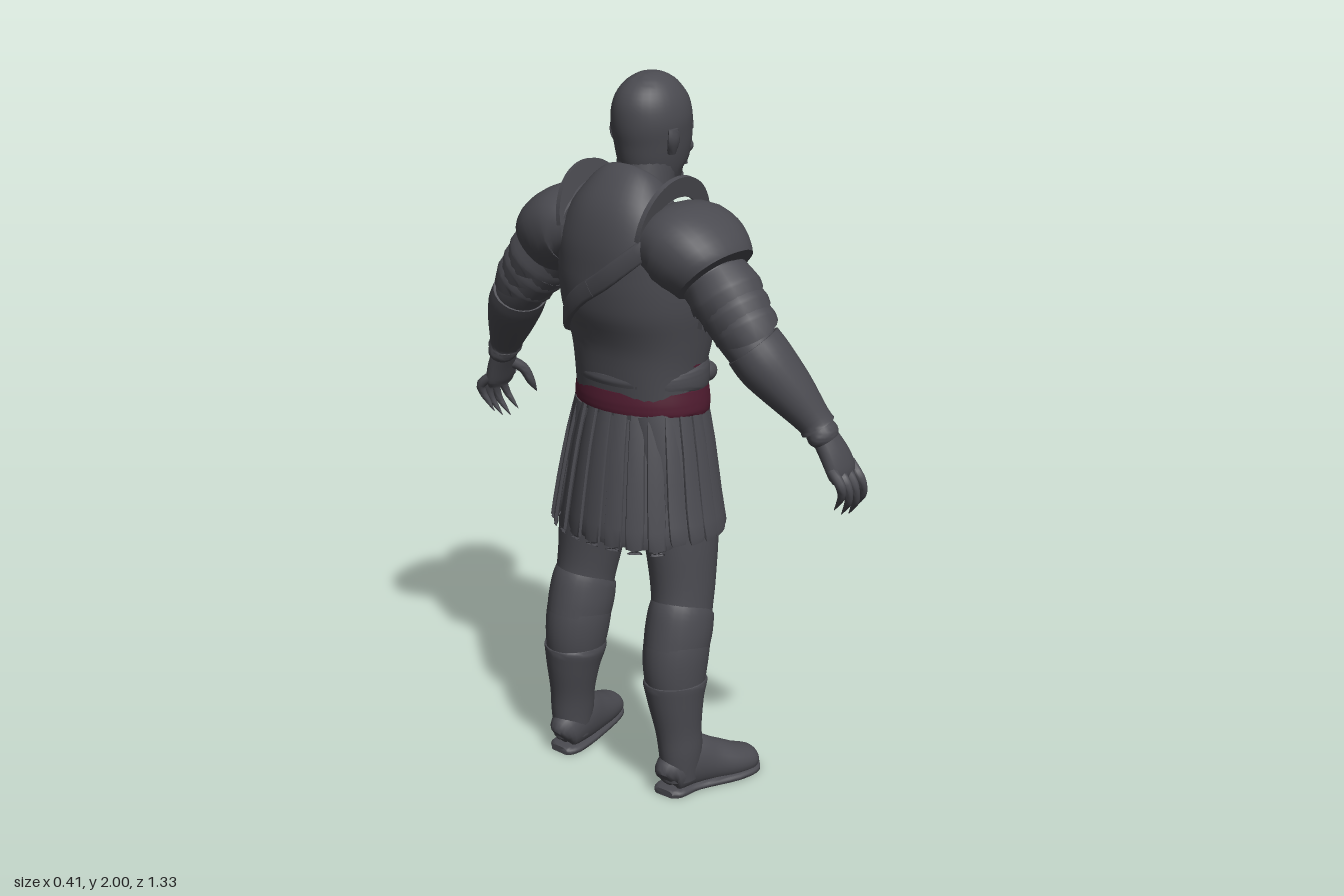
import * as THREE from 'three';
import { mergeVertices, toCreasedNormals } from 'three/addons/utils/BufferGeometryUtils.js';

const V = (x, y, z) => new THREE.Vector3(x, y, z);

// Smooth interpolation through a list of number rows.
function sample(rows, t) {
  const f = t * (rows.length - 1), i = Math.min(Math.floor(f), rows.length - 2), k = f - i;
  const at = (j) => rows[Math.max(0, Math.min(rows.length - 1, j))];
  return rows[i].map((_, c) => {
    const [p, q, r, s] = [at(i - 1)[c], at(i)[c], at(i + 1)[c], at(i + 2)[c]];
    return q + 0.5 * k * (r - p + k * (2 * p - 5 * q + 4 * r - s + k * (3 * (q - r) + s - p)));
  });
}

// Closed loft: rows are [x, y, z, radius along ref, radius across].
function loft(rows, { ref = () => V(1, 0, 0), n = 2, seg = 24, steps = 4, floor = -9 } = {}) {
  const rings = (rows.length - 1) * steps, pos = [], idx = [];
  const pt = (t) => V(...sample(rows, Math.max(0, Math.min(1, t))));
  const se = (c) => Math.sign(c) * Math.abs(c) ** (2 / n);
  for (let i = 0; i <= rings; i++) {
    const t = i / rings, [x, y, z, a, b] = sample(rows, t), c = V(x, y, z);
    const tan = pt(t + 0.02).sub(pt(t - 0.02)).normalize();
    const u = ref(c).clone().addScaledVector(tan, -ref(c).dot(tan)).normalize();
    const v = tan.clone().cross(u);
    for (let j = 0; j < seg; j++) {
      const w = (j / seg) * Math.PI * 2;
      const p = c.clone().addScaledVector(u, Math.max(a, 0.001) * se(Math.cos(w))).addScaledVector(v, Math.max(b, 0.001) * se(Math.sin(w)));
      pos.push(p.x, Math.max(p.y, floor), p.z);
      if (i < rings) {
        const A = i * seg + j, B = i * seg + (j + 1) % seg;
        idx.push(A, B, A + seg, B, B + seg, A + seg);
      }
    }
  }
  const c0 = pos.length / 3, last = rings * seg;
  for (const r of [rows[0], rows[rows.length - 1]]) pos.push(r[0], Math.max(r[1], floor), r[2]);
  for (let j = 0; j < seg; j++) {
    const k = (j + 1) % seg;
    idx.push(c0, k, j, c0 + 1, last + j, last + k);
  }
  const g = new THREE.BufferGeometry();
  g.setAttribute('position', new THREE.Float32BufferAttribute(pos, 3));
  g.setIndex(idx);
  return toCreasedNormals(mergeVertices(g, 1e-5), 0.9);
}

// Upright sections: rows are [y, centre x, radius x, radius z].
const upright = (rows) => rows.map(([y, x, a, b]) => [x, y, 0, a, b]);

const TORSO = [[1.1, .01, .145, .185], [1.2, .005, .15, .185], [1.3, .01, .168, .2], [1.4, .005, .19, .215], [1.5, -.012, .185, .215],
  [1.58, -.03, .165, .205], [1.64, -.035, .14, .17], [1.68, -.025, .11, .13], [1.71, 0, .09, .095]];

export function createModel() {
  const model = new THREE.Group();
  const grey = new THREE.MeshStandardMaterial({ color: 0x4a4a50 });
  grey.name = 'charcoal grey';
  const red = new THREE.MeshStandardMaterial({ color: 0x501c30 });
  red.name = 'dark crimson';
  const add = (name, geo, mat = grey) => {
    const m = new THREE.Mesh(geo, mat);
    m.name = name;
    model.add(m);
    return m;
  };
  const ball = (name, x, y, z, a, b, c) => {
    const m = add(name, new THREE.SphereGeometry(1, 20, 14));
    m.position.set(x, y, z);
    m.scale.set(a, b, c);
  };
  const up = () => V(0, 1, 0);
  const outward = (p) => V(p.x - 0.005, 0, p.z).normalize();

  // Head, neck and collar; the figure faces +x
  add('head', loft(upright([[1.683, .1, .045, .035], [1.7, .09, .07, .055], [1.735, .068, .1, .075], [1.78, .06, .112, .088], [1.83, .056, .118, .096],
    [1.88, .05, .12, .1], [1.93, .047, .111, .09], [1.97, .047, .08, .066], [1.993, .047, .04, .034], [2, .047, .004, .004]]), { seg: 32 }));
  add('neck', loft([[-.005, 1.62, 0, .1, .1], [.015, 1.69, 0, .085, .082], [.04, 1.78, 0, .085, .08]]));
  add('nose', loft([[.158, 1.865, 0, .008, .012], [.175, 1.82, 0, .012, .013], [.18, 1.79, 0, .016, .02], [.17, 1.772, 0, .008, .014]], { seg: 14 }));
  add('mouth', loft([[.15, 1.742, -.034, .008, .005], [.17, 1.748, 0, .011, .012], [.15, 1.742, .034, .008, .005]], { seg: 12 }));
  ball('chin', .135, 1.708, 0, .03, .024, .034);
  const collar = add('collar', new THREE.TorusGeometry(.088, .018, 10, 36));
  collar.position.set(.012, 1.695, 0);
  collar.rotation.set(Math.PI / 2, -.25, 0, 'ZXY');
  add('breastplate', loft(upright(TORSO), { n: 2.3, seg: 40 }));

  // Diagonal strap wrapped round the breastplate
  const strap = [];
  for (let i = 0; i <= 48; i++) {
    const w = (i / 48) * Math.PI * 2 + Math.PI;
    let y = 1.46, s;
    for (let k = 0; k < 12; k++) {
      s = sample(TORSO, 0);
      for (let q = 0; q < TORSO.length - 1; q++) {
        const [lo, hi] = [TORSO[q], TORSO[q + 1]];
        if (y >= lo[0] && y <= hi[0]) s = lo.map((v, c) => v + (hi[c] - v) * (y - lo[0]) / (hi[0] - lo[0]));
      }
      y = 1.46 + .85 * s[3] * Math.sin(w);
    }
    const e = (c) => Math.sign(c) * Math.abs(c) ** (2 / 2.3);
    strap.push([s[1] + s[2] * e(Math.cos(w)), y, s[3] * e(Math.sin(w)), .012, .026]);
  }
  add('chestStrap', loft(strap, { ref: outward, n: 4, seg: 12, steps: 1 }));

  // Belt, sash and knot
  add('belt', loft(upright([[1.16, .012, .15, .185], [1.17, .014, .162, .195], [1.2, .015, .164, .197], [1.225, .014, .158, .193], [1.235, .012, .145, .18]]), { seg: 36 }));
  add('sash', loft(upright([[1.09, .012, .15, .19], [1.1, .014, .16, .2], [1.13, .014, .163, .2], [1.165, .014, .158, .195]]), { seg: 36 }), red);
  add('sashTrim', loft(upright([[1.225, .012, .15, .186], [1.235, .012, .156, .19], [1.245, .012, .15, .185]]), { seg: 36 }), red);
  add('sashTail', loft([[.115, 1.235, -.145, .012, .025], [.15, 1.19, -.15, .02, .03], [.16, 1.1, -.16, .012, .028], [.168, 1, -.172, .01, .034], [.175, .885, -.185, .008, .042]],
    { n: 4, seg: 16 }), red);
  add('beltLoop', loft([[.145, 1.2, .11, .012, .018], [.178, 1.18, .04, .014, .022], [.178, 1.155, -.04, .016, .022], [.155, 1.11, -.11, .014, .022], [.145, 1.07, -.125, .012, .02]], { seg: 14 }));
  ball('beltPouch', .125, 1.18, .13, .04, .03, .03);

  // Skirt: two staggered rings of hanging strips
  for (let layer = 0; layer < 2; layer++) {
    for (let i = 0; i < 24; i++) {
      const w = ((i + layer / 2) / 24) * Math.PI * 2, c = Math.cos(w), s = Math.sin(w), d = layer * .012;
      const low = (i === 0 && layer === 0) ? .695 : (c < -.5 ? .735 : .765) + layer * .015;
      const row = (y, cx, rx, rz, b) => [cx + (rx - d) * c, y, (rz - d) * s, .006, b];
      add('skirtStrip', loft([row(1.115, .012, .148, .188, .02), row(1, .005, .166, .216, .022), row(.86, -.003, .18, .243, .025),
        row(low + .01, -.007, .19, .262, .025), row(low, -.007, .19, .262, .017)], { ref: outward, n: 4, seg: 12, steps: 2 }));
    }
  }

  for (const s of [1, -1]) {
    const side = s > 0 ? 'right' : 'left';
    const part = (name, rows, o) => add(side + name, loft(rows.map(([x, y, z, a, b]) => [x, y, z * s, a, b]), o));

    // Face details
    part('Ear', [[.028, 1.795, .088, .014, .01], [.022, 1.83, .1, .022, .01], [.02, 1.86, .1, .018, .008]], { seg: 12 });
    part('Brow', [[.165, 1.853, .008, .012, .01], [.152, 1.86, .04, .014, .01], [.115, 1.85, .076, .012, .01]], { seg: 12 });
    ball(side + 'Eye', .143, 1.833, s * .036, .014, .009, .015);
    ball(side + 'Cheek', .125, 1.795, s * .052, .028, .02, .022);

    // Shoulder guard with upright rim and overlapping bands
    part('ShoulderGuard', [[-.025, 1.58, .13, .14, .095], [-.025, 1.578, .19, .155, .112], [-.03, 1.55, .245, .147, .112], [-.03, 1.512, .285, .122, .1]], { n: 2.3, seg: 32 });
    const arch = new THREE.Shape();
    arch.absellipse(0, 0, .145, .155, 0, Math.PI, false);
    arch.absellipse(0, 0, .11, .1, Math.PI, 0, true);
    const rim = add(side + 'ShoulderRim', new THREE.ExtrudeGeometry(arch, { depth: .014, bevelEnabled: false, curveSegments: 24 }));
    rim.position.set(-.025, 1.6, s * .135 - .007);
    rim.rotation.x = s * .18;
    for (let i = 0; i < 3; i++) {
      const y = 1.505 - i * .037, z = .285 + i * .032, r = .1 - i * .006;
      part('ArmBand', [[-.03, y, z, r - .012, r - .012], [-.032, y - .045, z + .039, r, r], [-.032, y - .05, z + .043, r - .006, r - .006]], { seg: 20 });
    }
    add(side + 'SideBuckle', new THREE.BoxGeometry(.05, .05, .02)).position.set(.02, 1.37, s * .213);

    // Arm, bracer and cuff
    part('UpperArm', [[-.03, 1.56, .21, .085, .085], [-.035, 1.43, .33, .078, .078], [-.035, 1.35, .405, .073, .07], [-.01, 1.28, .46, .07, .065]]);
    part('Bracer', [[-.03, 1.345, .412, .082, .076], [-.015, 1.3, .445, .083, .076], [.018, 1.23, .497, .07, .064], [.05, 1.155, .55, .05, .047], [.057, 1.135, .562, .052, .047]]);
    part('Cuff', [[.055, 1.14, .56, .04, .036], [.062, 1.115, .575, .049, .04], [.066, 1.1, .583, .04, .034]]);

    // Hand with clawed fingers
    part('Palm', [[.06, 1.13, .565, .036, .03], [.078, 1.07, .597, .05, .03], [.09, 1.02, .617, .055, .026], [.093, .995, .622, .045, .018]], { seg: 18 });
    for (let i = 0; i < 4; i++) {
      const x = .048 + i * .029, dy = [.03, .008, 0, .012][i];
      part('Finger', [[x, 1.03, .612, .014, .015], [x + .002 * i - .008, .985 + dy / 2, .648, .014, .014], [x + .004 * i, .94 + dy, .65, .011, .011],
        [x + .004 * i + .008, .915 + dy, .638, .008, .008], [x + .005 * i + .014, .885 + dy, .618, .001, .001]], { seg: 10, steps: 3 });
    }
    part('Thumb', [[.09, 1.075, .59, .018, .016], [.132, 1.045, .565, .016, .015], [.153, 1.0, .552, .012, .012], [.174, .965, .55, .001, .001]], { seg: 10 });

    // Leg, knee wrap and boot
    part('Leg', [[0, 1.1, .09, .125, .095], [0, .92, .125, .125, .105], [-.005, .76, .155, .116, .096], [-.015, .62, .172, .1, .085], [-.03, .53, .18, .094, .08],
      [-.052, .44, .182, .1, .088], [-.062, .36, .185, .096, .083], [-.065, .28, .192, .08, .07]]);
    part('KneeWrap', [[-.018, .56, .178, .088, .075], [-.03, .535, .18, .1, .085], [-.042, .48, .181, .103, .089], [-.055, .43, .182, .1, .086]]);
    part('BootShaft', [[-.064, .345, .187, .082, .07], [-.064, .335, .187, .097, .085], [-.067, .28, .192, .086, .075], [-.064, .19, .2, .072, .06],
      [-.06, .12, .205, .07, .055], [-.062, .04, .205, .06, .048]]);
    part('BootFoot', [[-.123, .05, .2, .03, .02], [-.105, .06, .2, .06, .045], [-.03, .075, .208, .08, .052], [.04, .058, .226, .066, .055],
      [.11, .04, .25, .05, .06], [.17, .03, .266, .036, .05], [.193, .025, .272, .012, .02]], { ref: up, floor: 0 });
    part('BootSole', [[-.127, .008, .2, .012, .03], [-.1, .008, .2, .014, .05], [-.02, .008, .21, .014, .052], [.1, .008, .25, .014, .064],
      [.17, .008, .267, .014, .053], [.197, .008, .274, .012, .022]], { ref: up, floor: 0, n: 3 });
  }
  return model;
}
